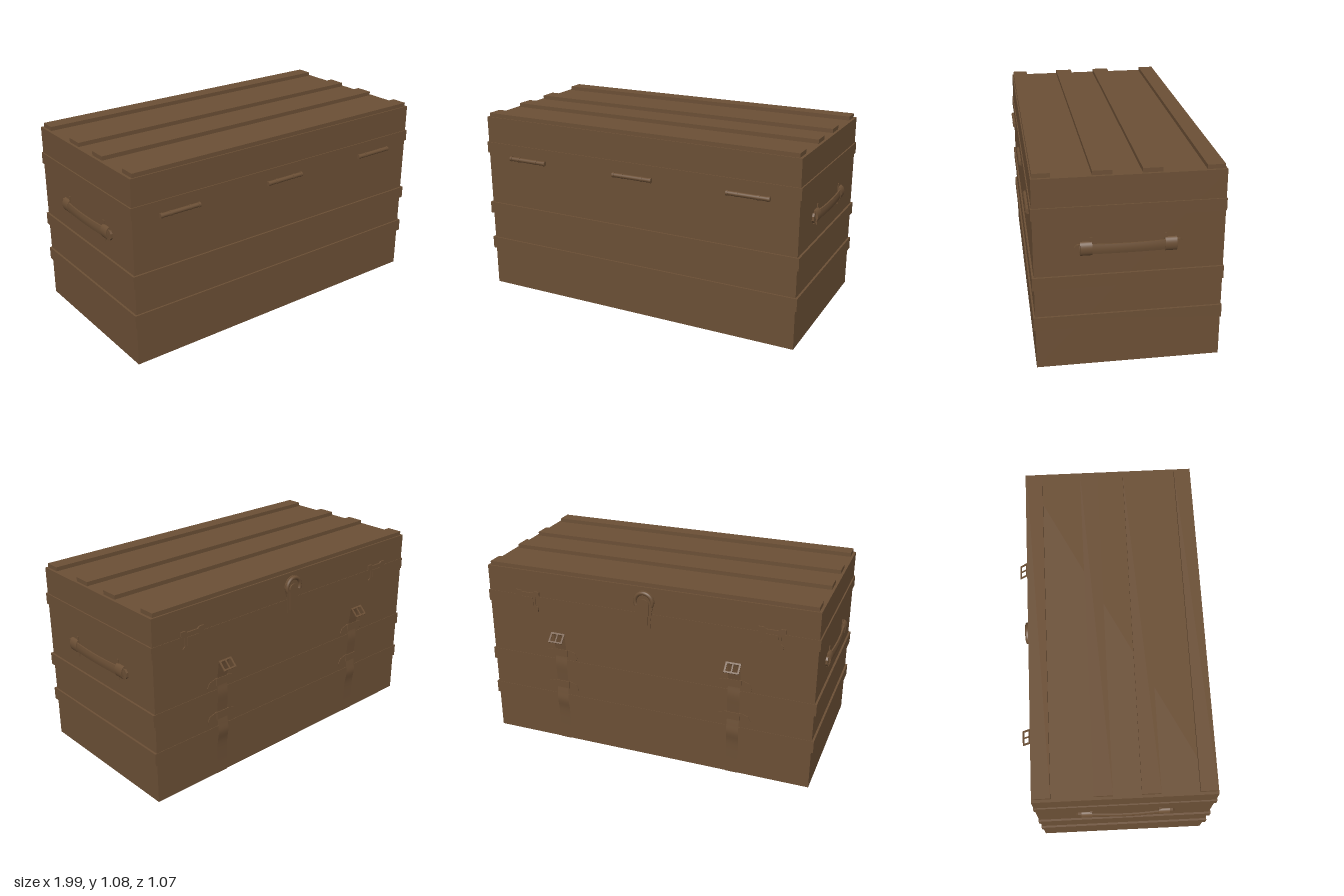
import * as THREE from 'three';

const BACK = -0.457, FRONT = 0.514, HALF = 0.97, MIDZ = (FRONT + BACK) / 2;

export function createModel() {
  const trunk = new THREE.Group();
  trunk.name = 'trunk';
  const brown = new THREE.MeshStandardMaterial({ color: 0x6b4f35, side: THREE.DoubleSide });
  brown.name = 'brown';

  const add = (name, geo, x = 0, y = 0, z = 0, parent = trunk) => {
    const mesh = new THREE.Mesh(geo, brown);
    mesh.name = name;
    mesh.position.set(x, y, z);
    parent.add(mesh);
    return mesh;
  };
  const box = (name, w, h, d, x, y, z, parent) => add(name, new THREE.BoxGeometry(w, h, d), x, y, z, parent);
  const rect = (T, x0, y0, x1, y1) => {
    const s = new T();
    s.moveTo(x0, y0).lineTo(x1, y0).lineTo(x1, y1).lineTo(x0, y1).closePath();
    return s;
  };
  const polygon = pts => new THREE.Shape(pts.map(p => new THREE.Vector2(...p)));
  const mirrored = pts => polygon([...pts, ...pts.slice().reverse().map(([x, y]) => [-x, y])]);
  const extrude = (shape, depth) => new THREE.ExtrudeGeometry(shape, { depth, bevelEnabled: false, curveSegments: 16 });
  // thin plate lying against the back wall
  const backPlate = (name, shape, depth, x, y, lift = 0) => add(name, extrude(shape, depth), x, y, BACK - lift - depth);

  // body: shell that is open underneath
  const shell = new THREE.BoxGeometry(HALF * 2, 1.057, FRONT - BACK);
  const index = Array.from(shell.index.array);
  index.splice(18, 6);
  shell.setIndex(index);
  shell.clearGroups();
  add('body', shell, 0, 0.5285, MIDZ);

  // bands running round the walls
  for (const [y0, y1, out] of [[0.23, 0.302, 0.012], [0.46, 0.53, 0.012], [0.84, 0.905, 0.008]]) {
    const w = HALF + out;
    const ring = rect(THREE.Shape, -w, BACK - 0.003, w, FRONT + out - 0.002);
    ring.holes.push(rect(THREE.Path, -HALF - 0.0005, BACK - 0.0005, HALF + 0.0005, FRONT + 0.0005));
    const geo = extrude(ring, y1 - y0);
    geo.rotateX(Math.PI / 2);
    add('band', geo, 0, y1, 0);
  }

  // slats on the lid
  for (const [z0, z1] of [[0.417, 0.507], [0.115, 0.215], [-0.135, -0.035], [-0.448, -0.357]])
    box('lidSlat', 1.91, 0.023, z1 - z0, 0, 1.0685, (z0 + z1) / 2);

  // hinges on the front: a long knuckle with raised joints
  for (const x of [-0.69, 0.005, 0.69]) {
    const hinge = new THREE.Group();
    hinge.name = 'hinge';
    hinge.position.set(x, 0.823, 0.522);
    trunk.add(hinge);
    const pin = new THREE.CylinderGeometry(0.0125, 0.0125, 0.245, 10);
    pin.rotateZ(Math.PI / 2);
    add('hingePin', pin, 0, 0, 0, hinge);
    for (const j of [-0.115, -0.06, 0.06, 0.115]) {
      const joint = new THREE.CylinderGeometry(0.0145, 0.0145, 0.012, 10);
      joint.rotateZ(Math.PI / 2);
      add('hingeJoint', joint, j, 0, 0, hinge);
    }
  }

  // bowed carrying handle on each end
  for (const side of [1, -1]) {
    const handle = new THREE.Group();
    handle.name = side > 0 ? 'leftHandle' : 'rightHandle';
    handle.position.set(side * HALF, 0.675, 0.035);
    trunk.add(handle);

    const grip = new THREE.BoxGeometry(0.008, 0.056, 0.5, 1, 4, 20);
    const p = grip.attributes.position;
    for (let i = 0; i < p.count; i++) {
      const t = p.getZ(i) / 0.25, round = 1 - (p.getY(i) / 0.028) ** 2;
      p.setX(i, side * (0.006 + 0.013 * (1 - t * t) + 0.004 * round) + p.getX(i));
      p.setY(i, p.getY(i) * (0.9 + 0.1 * t * t));
    }
    grip.computeVertexNormals();
    add('grip', grip, 0, 0, 0, handle);

    for (const end of [1, -1]) {
      // pointed end of the grip
      const tip = extrude(polygon([[0.22, -0.026], [0.263, -0.026], [0.275, -0.012], [0.275, 0.012], [0.263, 0.026], [0.22, 0.026]]), 0.012);
      tip.rotateY(-Math.PI / 2);
      const tipMesh = add('gripEnd', tip, side > 0 ? 0.012 : 0, 0, 0, handle);
      if (end < 0) {
        tipMesh.rotation.y = Math.PI;
        tipMesh.position.x = side > 0 ? 0 : -0.012;
      }
      // arched bracket and its base
      const arch = new THREE.CylinderGeometry(0.038, 0.038, 0.06, 16, 1, false, 0, Math.PI);
      arch.rotateX(Math.PI / 2);
      arch.scale(0.62, 1, 1);
      const archMesh = add('bracket', arch, 0, 0, end * 0.215, handle);
      if (side < 0) archMesh.rotation.y = Math.PI;
      box('bracketBase', 0.005, 0.12, 0.014, side * 0.0025, 0, end * 0.19, handle);
    }
  }

  // clasps at the seam on the back
  const clasp = mirrored([[0.03, -0.07], [0.062, -0.062], [0.066, -0.035], [0.05, -0.025], [0.05, 0.025],
    [0.074, 0.035], [0.074, 0.06], [0.045, 0.06], [0.035, 0.05]]);
  for (const x of [-0.72, 0.72]) {
    backPlate('clasp', clasp, 0.008, x, 0.875);
    box('claspBar', 0.07, 0.05, 0.004, x, 0.875, BACK - 0.009);
  }

  // centre lock: rounded plate, arched rim and tongue
  const lock = new THREE.Shape();
  lock.moveTo(-0.035, 0.82).lineTo(0.035, 0.82).lineTo(0.045, 0.92).lineTo(0.062, 0.975);
  lock.absarc(0, 0.975, 0.062, 0, Math.PI, false);
  lock.lineTo(-0.045, 0.92).closePath();
  backPlate('lockPlate', lock, 0.007, 0, 0);
  const rim = new THREE.TorusGeometry(0.05, 0.011, 8, 24, Math.PI * 1.3);
  rim.rotateZ(-Math.PI * 0.15);
  add('lockRim', rim, 0, 0.975, BACK - 0.009);
  const tongue = new THREE.Shape();
  tongue.moveTo(-0.024, 0.84).lineTo(0.024, 0.84).lineTo(0.03, 0.96);
  tongue.absarc(0, 0.96, 0.03, 0, Math.PI, false);
  backPlate('lockTongue', tongue, 0.007, 0, 0, 0.007);

  // leather straps with loops and open buckles on the back
  const strapLine = new THREE.CatmullRomCurve3([
    [0, -0.460], [0.1, -0.460], [0.2, -0.463], [0.265, -0.473], [0.315, -0.468], [0.365, -0.462], [0.43, -0.465],
    [0.5, -0.469], [0.57, -0.462], [0.635, -0.470], [0.7, -0.481], [0.711, -0.489],
  ].map(([y, z]) => new THREE.Vector3(0, y, z)));
  const loop = mirrored([[0.04, -0.025], [0.07, -0.022], [0.095, -0.04], [0.1, -0.02], [0.085, 0.008], [0.04, 0.022]]);
  for (const x of [-0.525, 0.525]) {
    const rows = 48, strap = new THREE.PlaneGeometry(0.07, 1, 1, rows), p = strap.attributes.position;
    for (let i = 0; i < p.count; i++) {
      const q = strapLine.getPoint(1 - Math.floor(i / 2) / rows);
      p.setXYZ(i, p.getX(i), q.y, q.z);
    }
    strap.computeVertexNormals();
    add('strap', strap, x);
    for (const y of [0.37, 0.575]) {
      backPlate('strapLoop', loop, 0.004, x, y);
      box('strapKeeper', 0.08, 0.044, 0.008, x, y, BACK - 0.006);
    }

    // buckle hanging outward from the strap end
    const frame = rect(THREE.Shape, -0.043, -0.062, 0.043, 0);
    frame.holes.push(rect(THREE.Path, -0.033, -0.053, 0.033, -0.01));
    const buckle = add('buckle', extrude(frame, 0.005), x, 0.712, -0.488);
    buckle.rotation.x = 0.78;
    box('buckleProng', 0.008, 0.06, 0.005, 0, -0.03, 0.003, buckle);
  }
  return trunk;
}
